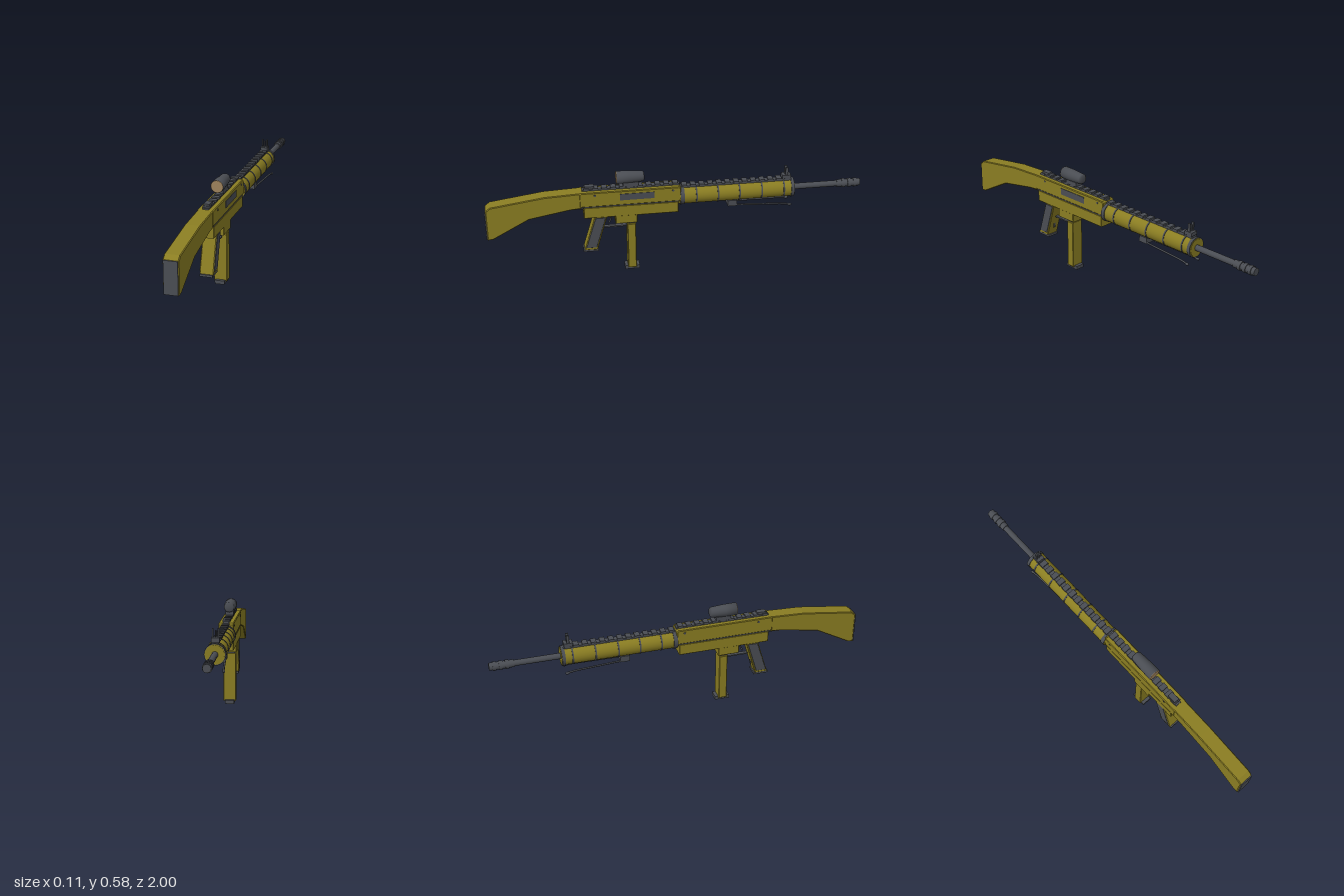
import * as THREE from 'three';

const olive = new THREE.MeshStandardMaterial({ name: 'olive', color: 0x8a7d22 });
const gunmetal = new THREE.MeshStandardMaterial({ name: 'gunmetal', color: 0x4a4d53 });
const lensTan = new THREE.MeshStandardMaterial({ name: 'lensTan', color: 0x9d815b });
const AXIS = 0.419; // bore height

export function createModel() {
  const model = new THREE.Group();
  model.name = 'rifle';

  const add = (name, geometry, material, parent = model) => {
    const mesh = new THREE.Mesh(geometry, material);
    mesh.name = name;
    parent.add(mesh);
    return mesh;
  };
  const group = (name) => {
    const g = new THREE.Group();
    g.name = name;
    model.add(g);
    return g;
  };
  // Box given by its ranges
  const box = (name, [x0, x1], [y0, y1], [z0, z1], material, parent) => {
    const mesh = add(name, new THREE.BoxGeometry(x1 - x0, y1 - y0, z1 - z0), material, parent);
    mesh.position.set((x0 + x1) / 2, (y0 + y1) / 2, (z0 + z1) / 2);
    return mesh;
  };
  // Cylinder along z, from z0 (radius r0) to z1 (radius r1)
  const tube = (name, y, r0, r1, z0, z1, material, parent, sides = 24) => {
    const geo = new THREE.CylinderGeometry(r1, r0, z1 - z0, sides).rotateX(Math.PI / 2);
    const mesh = add(name, geo, material, parent);
    mesh.position.set(0, y, (z0 + z1) / 2);
    return mesh;
  };
  // Side profile of [z, y] points, centred on x, with bevelled edges
  const profile = (name, points, width, bevel, material, parent) => {
    const shape = new THREE.Shape(points.map(([z, y]) => new THREE.Vector2(z, y)));
    const geo = new THREE.ExtrudeGeometry(shape, {
      depth: width - 2 * bevel, bevelEnabled: bevel > 0, bevelSize: bevel,
      bevelThickness: bevel, bevelOffset: -bevel, bevelSegments: 1,
    });
    geo.translate(0, 0, bevel - width / 2).rotateY(-Math.PI / 2);
    return add(name, geo, material, parent);
  };
  // Toothed rail
  const rail = (name, y, z0, z1) => {
    const g = group(name);
    box('railBase', [-0.016, 0.016], [y, y + 0.01], [z0, z1], gunmetal, g);
    const n = Math.round((z1 - z0) / 0.046);
    const pitch = (z1 - z0) / n;
    for (let i = 0; i < n; i++) {
      const z = z0 + (i + 0.5) * pitch;
      box('railTooth', [-0.02, 0.02], [y + 0.007, y + 0.018], [z - 0.014, z + 0.014], gunmetal, g);
    }
  };

  // Stock and butt pad
  profile('stock', [[0.5, 0.395], [0.56, 0.39], [0.775, 0.352], [0.965, 0.25], [0.994, 0.247],
    [0.994, 0.417], [0.97, 0.436], [0.69, 0.475], [0.5, 0.483]], 0.078, 0.004, olive);
  box('buttPad', [-0.035, 0.035], [0.249, 0.416], [0.985, 1.0], gunmetal);

  // Receiver
  profile('upperReceiver', [[-0.022, 0.402], [0.51, 0.402], [0.51, 0.478], [0.5, 0.484],
    [-0.012, 0.484], [-0.022, 0.475]], 0.082, 0.004, olive);
  box('receiverSeam', [-0.038, 0.038], [0.396, 0.404], [-0.012, 0.5], gunmetal);
  profile('lowerReceiver', [[-0.008, 0.335], [0.49, 0.335], [0.49, 0.398], [-0.008, 0.398]], 0.08, 0.003, olive);
  box('rearLatch', [-0.025, 0.025], [0.385, 0.397], [0.485, 0.56], gunmetal);
  box('ejectionPort', [0.039, 0.0435], [0.431, 0.467], [0.12, 0.3], gunmetal);
  for (const z of [0.43, 0.02]) {
    const pin = add('receiverPin', new THREE.CylinderGeometry(0.006, 0.006, 0.086, 10).rotateZ(Math.PI / 2), gunmetal);
    pin.position.set(0, 0.466, z);
  }

  // Magazine
  const magazine = group('magazine');
  profile('magazineWell', [[0.21, 0.29], [0.325, 0.29], [0.325, 0.34], [0.21, 0.34]], 0.078, 0.003, olive, magazine);
  profile('magazineBody', [[0.218, 0.013], [0.263, 0.013], [0.263, 0.282], [0.218, 0.282]], 0.07, 0.003, olive, magazine);
  box('magazineNeck', [-0.028, 0.028], [0.275, 0.3], [0.223, 0.258], gunmetal, magazine);
  box('magazineBase', [-0.026, 0.026], [0, 0.02], [0.2, 0.28], gunmetal, magazine);

  // Pistol grip
  const grip = group('grip');
  profile('gripCore', [[0.425, 0.142], [0.493, 0.142], [0.433, 0.34], [0.368, 0.34]], 0.072, 0.003, olive, grip);
  profile('gripPanels', [[0.429, 0.155], [0.486, 0.155], [0.431, 0.332], [0.376, 0.332]], 0.077, 0.002, gunmetal, grip);
  box('gripBase', [-0.033, 0.033], [0.131, 0.143], [0.418, 0.5], gunmetal, grip);

  // Trigger and its guard
  box('triggerGuard', [-0.01, 0.01], [0.257, 0.264], [0.26, 0.385], gunmetal);
  box('triggerGuardPost', [-0.01, 0.01], [0.26, 0.295], [0.26, 0.267], gunmetal);
  const triggerPath = new THREE.CatmullRomCurve3([[0.335, 0.35], [0.31, 0.345], [0.28, 0.358]]
    .map(([y, z]) => new THREE.Vector3(0, y, z)));
  add('trigger', new THREE.TubeGeometry(triggerPath, 8, 0.005, 6), gunmetal);
  box('gripStrap', [-0.006, 0.006], [0.185, 0.25], [0.405, 0.409], gunmetal);

  // Handguard with bands
  const handguard = group('handguard');
  tube('handguardBody', AXIS, 0.049, 0.049, -0.632, -0.015, olive, handguard);
  for (const z of [-0.105, -0.22, -0.335, -0.455, -0.575])
    tube('handguardBand', AXIS, 0.0515, 0.0515, z - 0.004, z + 0.004, gunmetal, handguard);
  tube('handguardRearRing', AXIS, 0.053, 0.053, -0.04, -0.019, gunmetal, handguard);
  tube('handguardFrontRing', AXIS, 0.053, 0.053, -0.631, -0.614, gunmetal, handguard);
  tube('handguardCap', AXIS, 0.046, 0.046, -0.634, -0.62, olive, handguard);

  // Barrel and muzzle brake
  const barrel = group('barrel');
  tube('barrelTube', AXIS, 0.016, 0.016, -0.88, -0.62, gunmetal, barrel, 16);
  tube('muzzleBrake', AXIS, 0.02, 0.02, -1.0, -0.872, gunmetal, barrel, 16);
  for (const z of [-0.972, -0.94, -0.908])
    tube('muzzleRing', AXIS, 0.024, 0.024, z - 0.009, z + 0.009, gunmetal, barrel, 16);

  // Rails and sights
  rail('receiverRail', 0.481, -0.018, 0.495);
  rail('handguardRail', 0.464, -0.62, -0.02);
  box('rearSight', [-0.015, 0.015], [0.494, 0.508], [0.43, 0.48], gunmetal);
  const frontSight = group('frontSight');
  box('sightBase', [-0.02, 0.02], [0.478, 0.497], [-0.615, -0.568], gunmetal, frontSight);
  for (const x of [-0.013, 0, 0.013])
    box('sightPost', [x - 0.003, x + 0.003], [0.49, x ? 0.54 : 0.53], [-0.599, -0.585], gunmetal, frontSight);

  // Scope
  const scope = group('scope');
  const Y = 0.544;
  box('scopeMount', [-0.022, 0.022], [0.496, 0.52], [0.2, 0.28], gunmetal, scope);
  const body = add('scopeBody', new THREE.LatheGeometry([[0, 0.168], [0.021, 0.168], [0.028, 0.176],
    [0.033, 0.25], [0.034, 0.312], [0, 0.312]].map(([r, z]) => new THREE.Vector2(r, z)), 20)
    .rotateX(Math.PI / 2), gunmetal, scope);
  body.position.y = Y;
  tube('scopeLens', Y, 0.032, 0.032, 0.309, 0.315, lensTan, scope, 20);

  // Folded bipod
  const bipod = group('bipod');
  box('bipodBlock', [-0.03, 0.03], [0.342, 0.375], [-0.325, -0.275], gunmetal, bipod);
  for (const s of [-1, 1]) {
    const path = new THREE.CatmullRomCurve3([[0.022, 0.347, -0.3], [0.03, 0.343, -0.45],
      [0.037, 0.339, -0.575], [0.04, 0.333, -0.615]].map(([x, y, z]) => new THREE.Vector3(s * x, y, z)));
    add('bipodLeg', new THREE.TubeGeometry(path, 16, 0.005, 8), gunmetal, bipod);
    const foot = add('bipodFoot', new THREE.SphereGeometry(0.007, 10, 8), gunmetal, bipod);
    foot.scale.z = 1.8;
    foot.position.set(s * 0.04, 0.334, -0.608);
  }
  return model;
}
